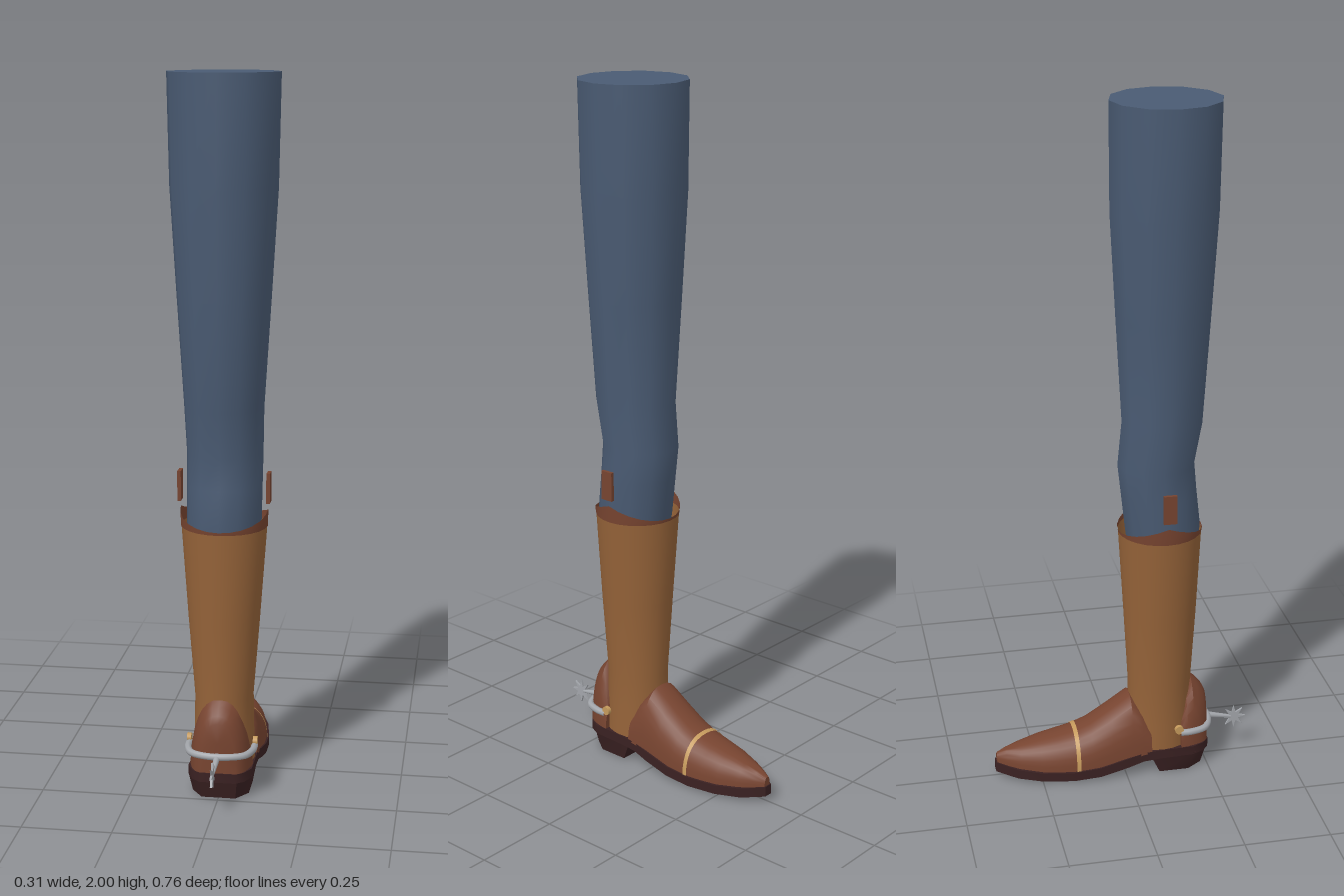
import * as THREE from 'three';
import { toCreasedNormals } from 'three/addons/utils/BufferGeometryUtils.js';

const mat = (name, color, side = THREE.FrontSide) => {
  const m = new THREE.MeshStandardMaterial({ color, side });
  m.name = name;
  return m;
};

// Skins a list of equal-length rings of [x, y, z] points, with optional end caps.
function loft(rings, capStart = true, capEnd = true) {
  const n = rings[0].length, pos = rings.flat(2), idx = [];
  for (let i = 0; i < rings.length - 1; i++) {
    for (let j = 0; j < n; j++) {
      const a = i * n + j, b = i * n + (j + 1) % n, c = a + n, d = b + n;
      idx.push(a, c, b, b, c, d);
    }
  }
  const cap = (ring, base, end) => {
    const centre = pos.length / 3;
    for (let k = 0; k < 3; k++) pos.push(ring.reduce((s, p) => s + p[k], 0) / n);
    for (let j = 0; j < n; j++) {
      const k = (j + 1) % n;
      idx.push(centre, base + (end ? k : j), base + (end ? j : k));
    }
  };
  if (capStart) cap(rings[0], 0, false);
  if (capEnd) cap(rings[rings.length - 1], (rings.length - 1) * n, true);
  const g = new THREE.BufferGeometry();
  g.setAttribute('position', new THREE.Float32BufferAttribute(pos, 3));
  g.setIndex(idx);
  return toCreasedNormals(g, 0.75);
}

// Horizontal ellipse; y may be a function of the angle.
function ellipse(n, y, cz, rx, rz) {
  return Array.from({ length: n }, (_, j) => {
    const a = j / n * Math.PI * 2;
    return [rx * Math.cos(a), typeof y === 'function' ? y(a) : y, cz + rz * Math.sin(a)];
  });
}

// Upright dome section of the foot: flat base, rounded top.
function dome(z, w, yb, yt) {
  return Array.from({ length: 17 }, (_, j) => {
    const a = j / 16 * Math.PI, c = Math.cos(a), s = Math.max(0, Math.sin(a));
    return [w * Math.sign(c) * Math.abs(c) ** 0.85, yb + (yt - yb) * s ** 0.85, z];
  });
}

export function createModel() {
  const group = new THREE.Group();
  const denim = mat('denim blue', 0x4a5b73);
  const tan = mat('tan leather', 0x956339, THREE.DoubleSide);
  const brown = mat('brown leather', 0x774430, THREE.DoubleSide);
  const dark = mat('dark sole', 0x3a2122);
  const steel = mat('spur steel', 0xa3a6ab);
  const brass = mat('stitch gold', 0xc59a5c, THREE.DoubleSide);
  const add = (name, geometry, material, x = 0, y = 0, z = 0) => {
    const m = new THREE.Mesh(geometry, material);
    m.name = name;
    m.position.set(x, y, z);
    group.add(m);
    return m;
  };

  // Trouser leg: y, centre z, half width, half depth
  add('trouserLeg', loft([
    [0.7, 0.12, 0.1, 0.1], [0.77, 0.12, 0.105, 0.11], [0.88, 0.108, 0.106, 0.11],
    [0.97, 0.099, 0.107, 0.111], [1.1, 0.117, 0.111, 0.117], [1.4, 0.118, 0.13, 0.135],
    [1.7, 0.119, 0.148, 0.152], [2, 0.12, 0.154, 0.155],
  ].map(r => ellipse(12, ...r))), denim);

  // Boot shaft, open at the top
  add('bootShaft', loft([
    [0.07, 0.112, 0.087, 0.098], [0.15, 0.112, 0.085, 0.094], [0.27, 0.113, 0.083, 0.093],
    [0.5, 0.113, 0.101, 0.106], [0.765, 0.111, 0.12, 0.12],
  ].map(r => ellipse(24, ...r)), true, false), tan);

  // Scalloped collar, high at the sides
  const scallop = a => 0.77 + 0.042 * (1 - Math.abs(Math.sin(a)));
  add('shaftCollar', loft([
    ellipse(24, 0.762, 0.111, 0.121, 0.121),
    ellipse(24, scallop, 0.111, 0.123, 0.122),
  ], false, false), brown);

  // Pull straps
  for (const s of [-1, 1]) {
    add(s > 0 ? 'leftPullStrap' : 'rightPullStrap',
      new THREE.BoxGeometry(0.01, 0.085, 0.038), brown, s * 0.124, 0.873, 0.114);
  }

  // Heel counter and vamp: z, half width, base y, top y
  add('heelCounter', loft([
    [0.25, 0.052, 0.07, 0.225], [0.24, 0.066, 0.07, 0.245], [0.222, 0.076, 0.07, 0.265],
    [0.205, 0.082, 0.07, 0.28], [0.185, 0.087, 0.07, 0.25], [0.165, 0.089, 0.07, 0.18],
  ].map(r => dome(...r))), brown);
  add('vamp', loft([
    [0.075, 0.089, 0.07, 0.17], [0.05, 0.091, 0.068, 0.215], [0.02, 0.091, 0.06, 0.24],
    [-0.04, 0.091, 0.045, 0.197], [-0.1, 0.091, 0.033, 0.156], [-0.139, 0.09, 0.03, 0.139],
    [-0.151, 0.089, 0.03, 0.135], [-0.2, 0.083, 0.03, 0.124], [-0.25, 0.073, 0.032, 0.114],
    [-0.31, 0.051, 0.038, 0.099], [-0.35, 0.03, 0.043, 0.088], [-0.378, 0.012, 0.046, 0.076],
  ].map(r => dome(...r))), brown);

  // Stitched line across the toe box
  add('toeStitching', loft([
    dome(-0.139, 0.092, 0.03, 0.141), dome(-0.151, 0.091, 0.03, 0.137),
  ], false, false), brass);

  // Sole with raised shank: z, half width, bottom y, top y
  add('sole', loft([
    [0.253, 0.05, 0.053, 0.08], [0.235, 0.073, 0.053, 0.08], [0.2, 0.09, 0.053, 0.08],
    [0.1, 0.09, 0.05, 0.078], [0.05, 0.09, 0.046, 0.074], [0, 0.095, 0.033, 0.063],
    [-0.08, 0.096, 0.013, 0.042], [-0.16, 0.095, 0.008, 0.035], [-0.25, 0.081, 0.009, 0.036],
    [-0.32, 0.056, 0.013, 0.041], [-0.35, 0.036, 0.016, 0.045], [-0.382, 0.013, 0.02, 0.05],
  ].map(([z, w, b, t]) => [[w, b, z], [w, t, z], [-w, t, z], [-w, b, z]])), dark);

  // Stacked heel, tapering to the floor
  const heelRing = (y, w, front, back) => [
    [w, y, front], [w, y, back - 0.045], [w * 0.6, y, back],
    [-w * 0.6, y, back], [-w, y, back - 0.045], [-w, y, front],
  ];
  add('heelBlock', loft([heelRing(0, 0.08, 0.1, 0.232), heelRing(0.06, 0.09, 0.072, 0.248)]), dark);

  // Spur: heel band, shank, rowel and buttons
  const band = new THREE.CatmullRomCurve3([
    [-0.093, 0.16], [-0.092, 0.195], [-0.073, 0.24], [0, 0.262],
    [0.073, 0.24], [0.092, 0.195], [0.093, 0.16],
  ].map(([x, z]) => new THREE.Vector3(x, 0.133, z)));
  add('spurBand', new THREE.TubeGeometry(band, 32, 0.01, 8), steel);
  const shank = add('spurShank', new THREE.CylinderGeometry(0.005, 0.01, 0.085, 10), steel, 0, 0.124, 0.295);
  shank.rotation.x = Math.PI / 2 + 0.2;
  const star = new THREE.Shape(Array.from({ length: 16 }, (_, i) => {
    const a = i / 16 * Math.PI * 2, r = i % 2 ? 0.015 : 0.036;
    return new THREE.Vector2(r * Math.cos(a), r * Math.sin(a));
  }));
  const rowel = new THREE.ExtrudeGeometry(star, { depth: 0.006, bevelEnabled: false });
  rowel.translate(0, 0, -0.003).rotateY(Math.PI / 2);
  add('spurRowel', rowel, steel, 0, 0.115, 0.346);
  for (const s of [-1, 1]) {
    const button = add(s > 0 ? 'leftSpurButton' : 'rightSpurButton',
      new THREE.CylinderGeometry(0.013, 0.013, 0.012, 12), brass, s * 0.094, 0.145, 0.155);
    button.rotation.z = Math.PI / 2;
  }
  return group;
}
